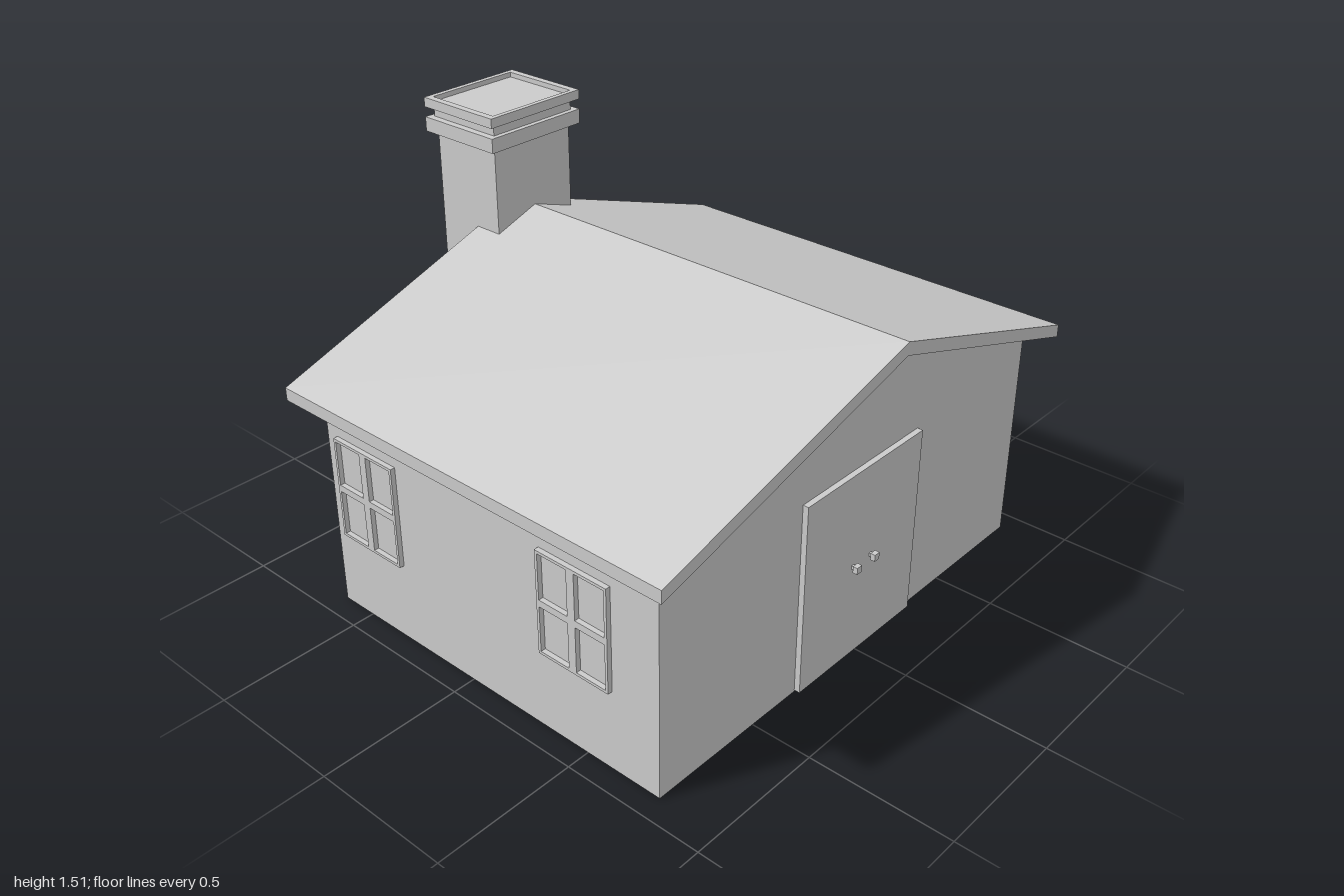
import * as THREE from 'three';

const mat = new THREE.MeshStandardMaterial({ color: 0xcccccc, flatShading: true });

function part(name, geometry, parent) {
  const mesh = new THREE.Mesh(geometry, mat);
  mesh.name = name;
  parent.add(mesh);
  return mesh;
}

// box given by its min and max corners
function box(name, [x0, y0, z0], [x1, y1, z1], parent) {
  const g = new THREE.BoxGeometry(x1 - x0, y1 - y0, z1 - z0);
  g.translate((x0 + x1) / 2, (y0 + y1) / 2, (z0 + z1) / 2);
  return part(name, g, parent);
}

const polygon = (pts) => new THREE.Shape(pts.map(([x, y]) => new THREE.Vector2(x, y)));
const rect = (x0, y0, x1, y1) => [[x0, y0], [x1, y0], [x1, y1], [x0, y1]];
const hole = (...r) => new THREE.Path(rect(...r).reverse().map(([x, y]) => new THREE.Vector2(x, y)));
const extrude = (shape, depth) => new THREE.ExtrudeGeometry(shape, { depth, bevelEnabled: false });

// four-light window frame, back at z = 0, centred in x and y
function windowFrame() {
  const s = polygon(rect(-0.14, -0.183, 0.14, 0.183));
  for (const x of [-0.13, 0.015]) {
    for (const y of [-0.173, 0.012]) s.holes.push(hole(x, y, x + 0.115, y + 0.161));
  }
  return extrude(s, 0.017);
}

export function createModel() {
  const house = new THREE.Group();
  house.name = 'house';

  // gabled walls
  const walls = extrude(polygon([[-0.918, 0], [0.918, 0], [0.918, 0.798], [0, 1.11], [-0.918, 0.798]]), 1.42);
  part('walls', walls.translate(0, 0, -0.635), house);

  // roof slab, its front edge swept forward towards the ridge
  const roof = extrude(polygon([[-1, 0.77], [0, 1.11], [1, 0.77], [1, 0.815], [0, 1.155], [-1, 0.815]]), 1);
  const p = roof.attributes.position;
  for (let i = 0; i < p.count; i++) {
    p.setZ(i, p.getZ(i) > 0.5 ? 0.915 - 0.047 * Math.abs(p.getX(i)) : -0.716);
  }
  roof.computeVertexNormals();
  part('roof', roof, house);

  // chimney with two bands and a shallow recessed top
  const chimney = new THREE.Group();
  chimney.name = 'chimney';
  house.add(chimney);
  box('chimneyStack', [-0.17, 0, -0.888], [0.17, 1.4, -0.612], chimney);
  box('chimneyLowerBand', [-0.2, 1.397, -0.915], [0.2, 1.447, -0.587], chimney);
  box('chimneyNeck', [-0.175, 1.447, -0.897], [0.175, 1.498, -0.605], chimney);
  const rim = polygon(rect(-0.2, -0.164, 0.2, 0.164));
  rim.holes.push(hole(-0.175, -0.146, 0.175, 0.146));
  const rimMesh = part('chimneyTopRim', extrude(rim, 0.033), chimney);
  rimMesh.rotation.x = -Math.PI / 2;
  rimMesh.position.set(0, 1.482, -0.751);

  // door with a pair of knobs
  box('door', [-0.295, 0.005, 0.78], [0.295, 0.69, 0.805], house);
  for (const x of [-0.048, 0.045]) {
    box('knobStem', [x - 0.006, 0.344, 0.8], [x + 0.006, 0.356, 0.82], house);
    box('knob', [x - 0.012, 0.338, 0.815], [x + 0.012, 0.362, 0.832], house);
  }

  // two windows on each side wall
  const frame = windowFrame();
  for (const side of [-1, 1]) {
    for (const z of [0.465, -0.445]) {
      const w = part('windowFrame', frame, house);
      w.rotation.y = side * Math.PI / 2;
      w.position.set(side * 0.918, 0.471, z);
    }
  }
  return house;
}
